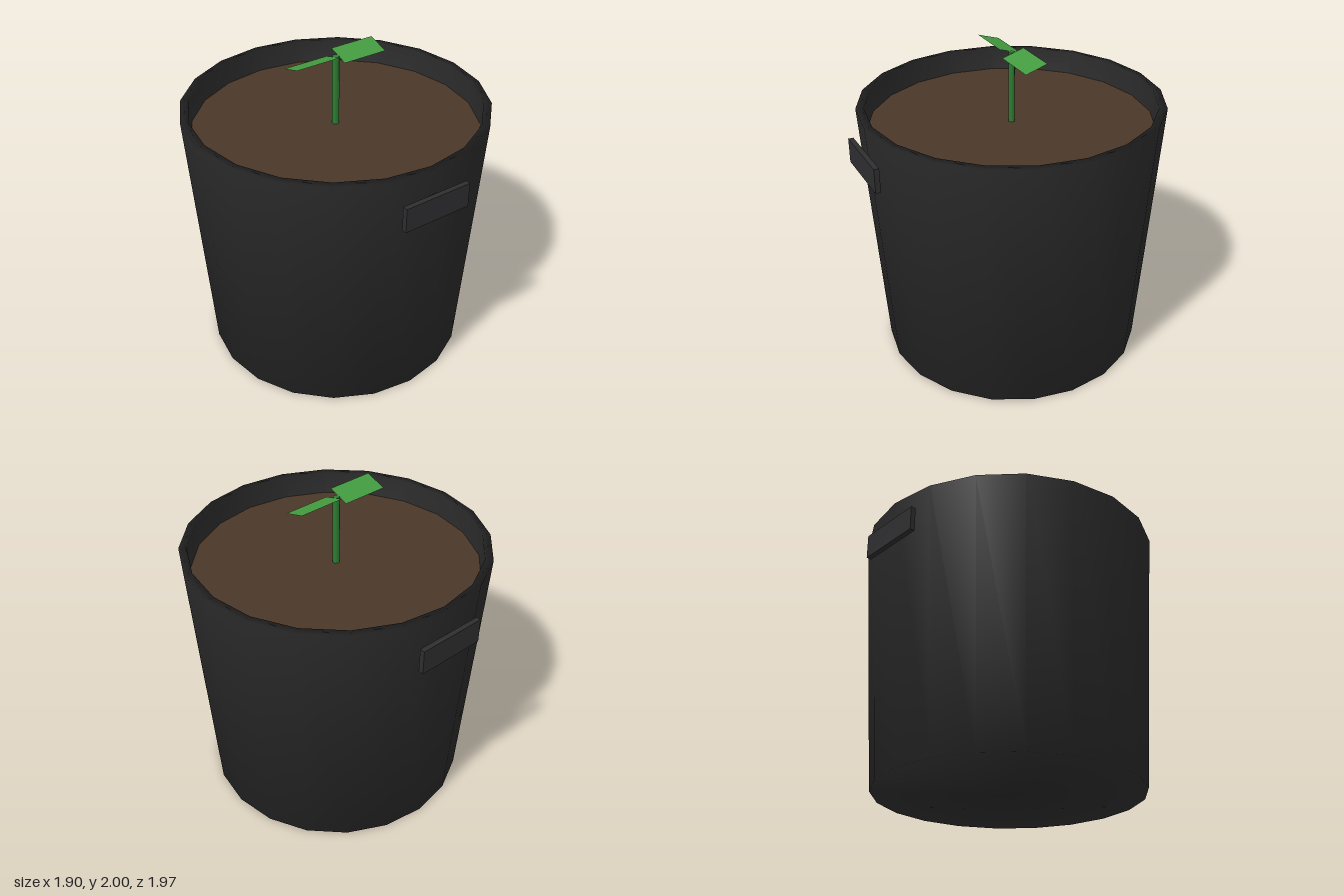
import * as THREE from 'three';

const mat = (color, side = THREE.FrontSide) => new THREE.MeshStandardMaterial({ color, side });

export function createModel() {
  const model = new THREE.Group();
  model.name = 'pottedSeedling';

  const add = (name, geometry, material, x = 0, y = 0, z = 0) => {
    const mesh = new THREE.Mesh(geometry, material);
    mesh.name = name;
    mesh.position.set(x, y, z);
    model.add(mesh);
    return mesh;
  };

  // Tapered pot: floor, outer wall, rim, inner wall and inner floor
  const profile = [
    [0, 0], [0.84, 0], [0.95, 1.675], [0.9, 1.675], [0.8, 0.06], [0, 0.06],
  ].map(([r, y]) => new THREE.Vector2(r, y));
  add('pot', new THREE.LatheGeometry(profile, 20), mat(0x2a2a2a));

  // Soil surface
  const soil = new THREE.CircleGeometry(0.892, 20).rotateX(-Math.PI / 2);
  add('soil', soil, mat(0x4a3728), 0, 1.53, 0);

  // Handle plates on the front and back
  const handleMat = mat(0x2e2e30);
  for (const s of [1, -1]) {
    add(s > 0 ? 'frontHandle' : 'backHandle',
      new THREE.BoxGeometry(0.45, 0.155, 0.032), handleMat, 0, 1.447, s * 0.968);
  }

  // Six-sided stem
  add('stem', new THREE.CylinderGeometry(0.022, 0.022, 0.46, 6), mat(0x2e7d32), 0, 1.75, 0);

  // Two thin leaves, twisted opposite ways
  const leafMat = mat(0x449c40, THREE.DoubleSide);
  for (const s of [1, -1]) {
    const leaf = new THREE.PlaneGeometry(0.3, 0.147).rotateX(-Math.PI / 2 + s * 0.3);
    add(s > 0 ? 'leftLeaf' : 'rightLeaf', leaf, leafMat, s * 0.167, 1.978, 0);
  }

  return model;
}
